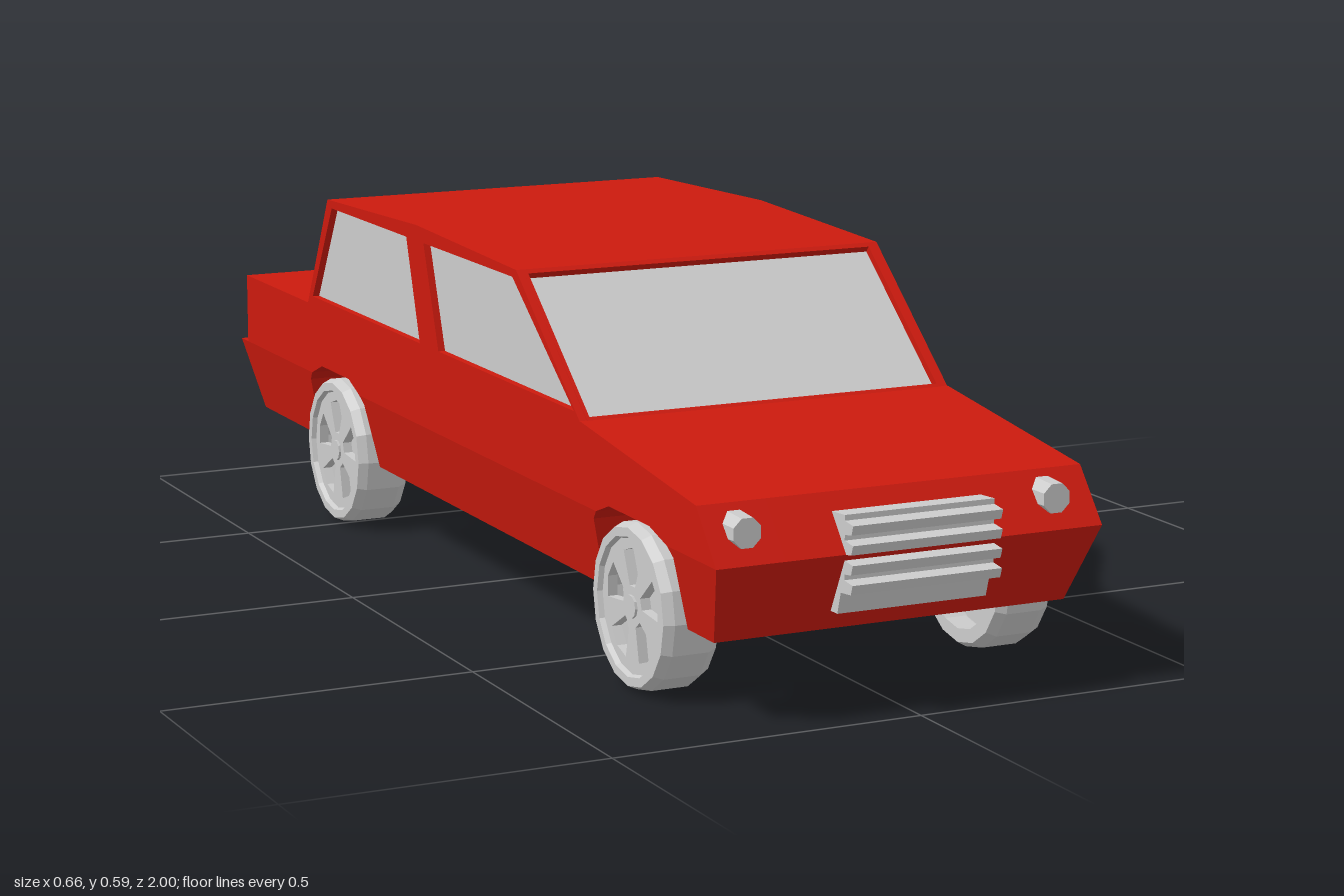
import * as THREE from 'three';

const red = new THREE.MeshStandardMaterial({ color: 0xcc1a0e, flatShading: true });
const grey = new THREE.MeshStandardMaterial({ color: 0xcccccc, flatShading: true });

function add(parent, name, geometry, material) {
  const mesh = new THREE.Mesh(geometry, material);
  mesh.name = name;
  parent.add(mesh);
  return mesh;
}

const toShape = (pts) => new THREE.Shape(pts.map(([a, b]) => new THREE.Vector2(a, b)));

// Side profile given as [z, y] points, extruded across the car from x0 to x1
function slab(pts, x0, x1, holes = []) {
  const shape = toShape(pts);
  shape.holes = holes.map(toShape);
  const g = new THREE.ExtrudeGeometry(shape, { depth: x1 - x0, bevelEnabled: false });
  return g.rotateY(-Math.PI / 2).translate(x1, 0, 0);
}

// Sloping window surround between a bottom and a top [z, y] edge
function windowFrame(bottom, top, half, inner, lowMargin, topMargin, facing, depth) {
  const dir = new THREE.Vector3(0, top[1] - bottom[1], top[0] - bottom[0]);
  const len = dir.length();
  dir.normalize();
  const shape = toShape([[-half, 0], [half, 0], [half, len], [-half, len]]);
  shape.holes = [toShape([[-inner, lowMargin], [inner, lowMargin],
    [inner, len - topMargin], [-inner, len - topMargin]])];
  const g = new THREE.ExtrudeGeometry(shape, { depth, bevelEnabled: false }).translate(0, 0, -depth);
  const right = new THREE.Vector3(facing, 0, 0);
  const m = new THREE.Matrix4().makeBasis(right, dir, right.clone().cross(dir));
  return g.applyMatrix4(m.setPosition(0, bottom[1], bottom[0]));
}

// Wheel: hollow tyre, bevelled edges and a five-spoke face
function makeWheel() {
  const wheel = new THREE.Group();
  const tyre = [[0.098, -0.01], [0.098, -0.046], [0.12, -0.046], [0.129, -0.03], [0.129, 0.03],
    [0.122, 0.046], [0.108, 0.046], [0.104, 0.036]].map(([r, h]) => new THREE.Vector2(r, h));
  const tyreMesh = add(wheel, 'tyre', new THREE.LatheGeometry(tyre, 16).rotateZ(-Math.PI / 2), grey.clone());
  tyreMesh.material.side = THREE.DoubleSide;

  const face = new THREE.Shape().absarc(0, 0, 0.108, 0, Math.PI * 2);
  for (let i = 0; i < 5; i++) {
    const a = Math.PI / 2 + (i * Math.PI * 2) / 5;
    const p = (r, t) => [r * Math.cos(a + t), r * Math.sin(a + t)];
    face.holes.push(toShape([p(0.032, -0.28), p(0.086, -0.36), p(0.09, 0), p(0.086, 0.36), p(0.032, 0.28)]));
  }
  const disc = new THREE.ExtrudeGeometry(face, { depth: 0.016, bevelEnabled: false, curveSegments: 8 });
  add(wheel, 'spokedRim', disc.rotateY(Math.PI / 2).translate(0.022, 0, 0), grey);
  add(wheel, 'rimBack', new THREE.CylinderGeometry(0.1, 0.1, 0.012, 16).rotateZ(Math.PI / 2), grey);
  add(wheel, 'hub', new THREE.CylinderGeometry(0.018, 0.018, 0.014, 10).rotateZ(Math.PI / 2)
    .translate(0.035, 0, 0), grey);
  return wheel;
}

export function createModel() {
  const car = new THREE.Group();
  car.name = 'car';
  const body = new THREE.Group();
  body.name = 'body';
  body.position.x = -0.005;
  car.add(body);

  const W = 0.322, WELL = 0.21, FLOOR = 0.125, WAIST = 0.25, PANE = 0.012;

  // Central body between the wheel wells
  const upperEdge = [[0.98, WAIST], [0.915, 0.33], [0.52, 0.378], [-0.645, 0.375], [-0.965, 0.375],
    [-0.965, WAIST], [-1, WAIST]];
  add(body, 'centralBody', slab([[-0.95, FLOOR], [0.92, FLOOR], ...upperEdge], -WELL, WELL), red);

  // Flanks: upper panels with arch tops, tapered sills below the waist
  const upperFlank = [...upperEdge,
    [-0.63, WAIST], [-0.58, 0.27], [-0.45, 0.27], [-0.40, WAIST],
    [0.575, WAIST], [0.62, 0.267], [0.76, 0.267], [0.82, WAIST]];
  const sills = {
    frontSill: [[0.835, FLOOR], [0.92, FLOOR], [0.98, WAIST], [0.82, WAIST], [0.835, 0.235]],
    middleSill: [[-0.375, FLOOR], [0.55, FLOOR], [0.56, 0.235], [0.575, WAIST], [-0.40, WAIST], [-0.385, 0.235]],
    rearSill: [[-0.95, FLOOR], [-0.66, FLOOR], [-0.645, 0.235], [-0.63, WAIST], [-1, WAIST]],
  };
  // Cabin side frames with two window openings each
  const cabin = [[0.52, 0.375], [0.28, 0.575], [-0.13, 0.588], [-0.54, 0.575], [-0.645, 0.375]];
  const sideWindows = [
    [[0.495, 0.39], [0.265, 0.562], [-0.10, 0.562], [-0.04, 0.39]],
    [[-0.12, 0.39], [-0.175, 0.562], [-0.52, 0.562], [-0.62, 0.39]],
  ];
  for (const [side, s] of [['left', 1], ['right', -1]]) {
    const span = (a, b) => (s > 0 ? [a, b] : [-b, -a]);
    add(body, side + 'Flank', slab(upperFlank, ...span(WELL, W)), red);
    for (const [name, pts] of Object.entries(sills)) {
      const g = slab(pts, ...span(WELL, W));
      const pos = g.attributes.position;
      for (let i = 0; i < pos.count; i++) {
        if (Math.abs(pos.getX(i)) > 0.3) pos.setX(i, s * (W - ((WAIST - pos.getY(i)) / 0.125) * 0.027));
      }
      g.computeVertexNormals();
      add(body, side + name, g, red);
    }
    add(body, side + 'CabinFrame', slab(cabin, ...span(W - PANE, W), sideWindows), red);
  }

  // Glass core sits just behind the frames
  const inner = W - PANE;
  add(body, 'glass', slab([[0.501, 0.372], [0.262, 0.568], [-0.526, 0.568], [-0.631, 0.372]],
    -inner, inner), grey);
  add(body, 'roof', slab([[0.28, 0.575], [-0.13, 0.588], [-0.54, 0.575], [-0.53, 0.564], [0.27, 0.564]],
    -inner, inner), red);
  add(body, 'windscreenFrame',
    windowFrame([0.52, 0.377], [0.28, 0.575], inner, 0.304, 0.008, 0.009, 1, PANE), red);
  add(body, 'rearWindowFrame',
    windowFrame([-0.645, 0.375], [-0.54, 0.575], inner, 0.29, 0.012, 0.02, -1, PANE), red);

  // Ribbed grille
  const ribs = [[0.93, 0.156], [0.955, 0.156], [0.965, 0.19]];
  for (let i = 0; i < 4; i++) {
    const y = 0.19 + i * 0.0295;
    ribs.push([0.995, y + 0.003], [1, y + 0.018], [0.975, y + 0.021], [0.975, y + 0.0295]);
  }
  ribs.push([0.93, 0.305]);
  add(car, 'grille', slab(ribs, -0.117, 0.133), grey);

  // Headlights and stepped tail lights
  for (const s of [1, -1]) {
    const lamp = new THREE.CylinderGeometry(0.024, 0.027, 0.05, 8).rotateY(Math.PI / 8).rotateX(Math.PI / 2);
    add(car, 'headlight', lamp.translate(s * 0.258 - 0.013, 0.295, 0.942), grey);
    const tail = new THREE.Group();
    tail.name = 'tailLight';
    tail.position.set(s * 0.25 - 0.005, 0, -0.97);
    car.add(tail);
    add(tail, 'lampBase', new THREE.BoxGeometry(0.075, 0.082, 0.016).translate(s * 0.02, 0.323, 0), grey);
    for (let i = 0; i < 3; i++) {
      const w = i === 1 ? 0.12 : 0.075;
      add(tail, 'lampRib', new THREE.BoxGeometry(w, 0.02, 0.03)
        .translate(s * (0.0575 - w / 2), 0.295 + i * 0.028, 0), grey);
    }
  }

  // Wheels
  for (const [end, z] of [['front', 0.695], ['rear', -0.52]]) {
    for (const [side, s] of [['Left', 1], ['Right', -1]]) {
      const wheel = makeWheel();
      wheel.name = end + side + 'Wheel';
      wheel.position.set(s * 0.285, 0.129, z);
      if (s < 0) wheel.rotation.y = Math.PI;
      car.add(wheel);
    }
  }
  return car;
}
